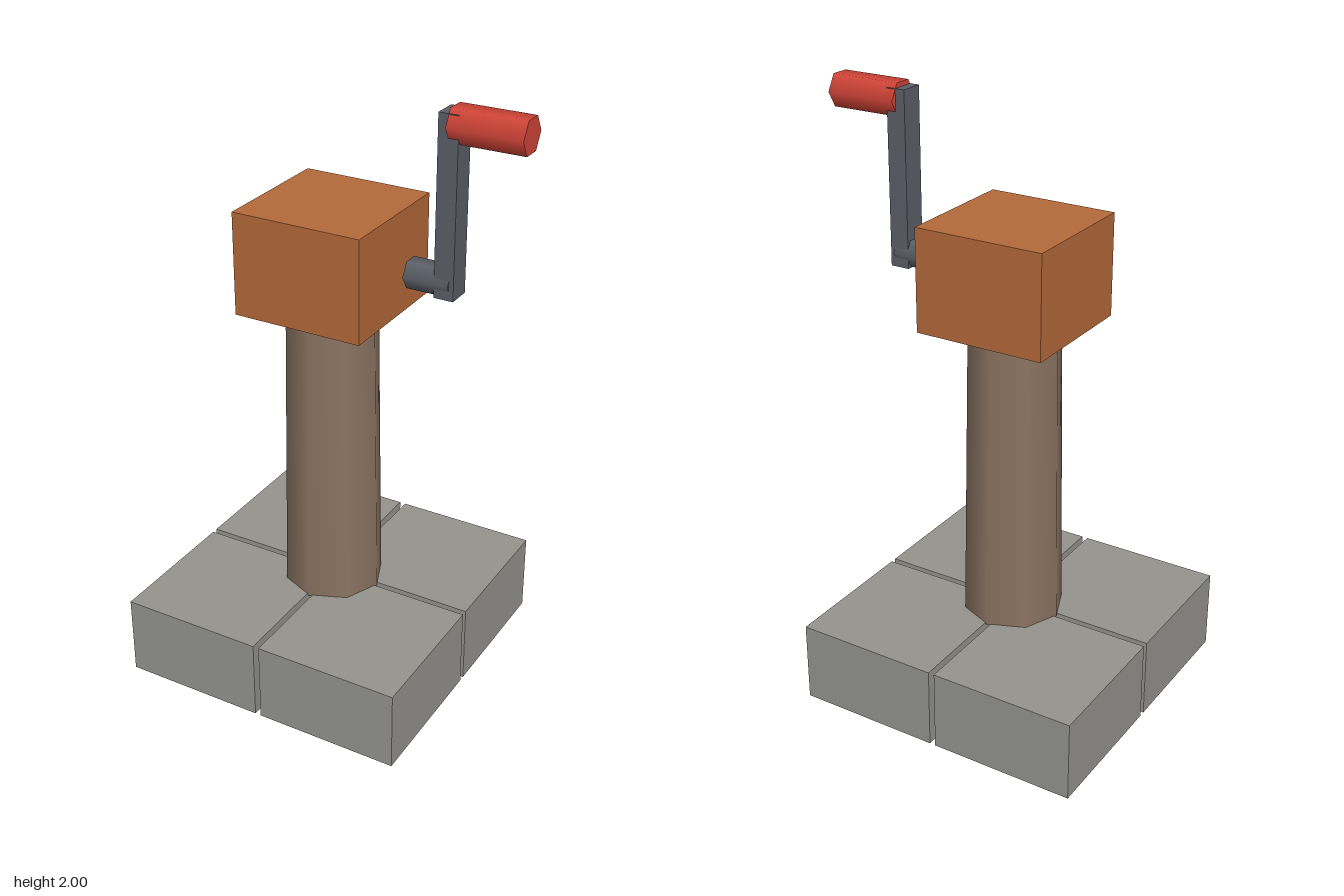
import * as THREE from 'three';

function material(name, color) {
  const m = new THREE.MeshStandardMaterial({ color });
  m.name = name;
  return m;
}

export function createModel() {
  const stone = material('grey stone', 0x94938e);
  const wood = material('brown wood', 0x8b7461);
  const orange = material('orange wood', 0xb4693a);
  const iron = material('dark iron', 0x5b5f67);
  const red = material('red grip', 0xd04438);

  const model = new THREE.Group();
  model.name = 'crankPost';
  const centreX = -0.073; // axis of the post

  function add(parent, name, geometry, mat, x, y, z) {
    const mesh = new THREE.Mesh(geometry, mat);
    mesh.name = name;
    mesh.position.set(x, y, z);
    parent.add(mesh);
    return mesh;
  }

  // Base: four stone blocks with narrow gaps
  const base = new THREE.Group();
  base.name = 'base';
  model.add(base);
  const block = new THREE.BoxGeometry(0.49, 0.274, 0.49);
  for (const sx of [-1, 1]) {
    for (const sz of [-1, 1]) {
      add(base, 'baseBlock', block, stone, centreX + sx * 0.255, 0.137, sz * 0.255);
    }
  }

  // Tapered eight-sided post and the box on top
  add(model, 'post', new THREE.CylinderGeometry(0.152, 0.168, 1.02, 8), wood, centreX, 0.78, 0);
  add(model, 'head', new THREE.BoxGeometry(0.44, 0.34, 0.44), orange, centreX, 1.46, 0);

  // Crank: hexagonal axle and grip lying along x, joined by an upright arm
  const crank = new THREE.Group();
  crank.name = 'crank';
  model.add(crank);
  const hexRod = (radius, length) =>
    new THREE.CylinderGeometry(radius, radius, length, 6).rotateZ(Math.PI / 2);
  add(crank, 'axle', hexRod(0.05, 0.15), iron, 0.275, 1.458, 0);
  add(crank, 'arm', new THREE.BoxGeometry(0.065, 0.574, 0.08), iron, 0.333, 1.698, 0);
  add(crank, 'grip', hexRod(0.06, 0.24), red, 0.453, 1.948, 0);

  return model;
}
